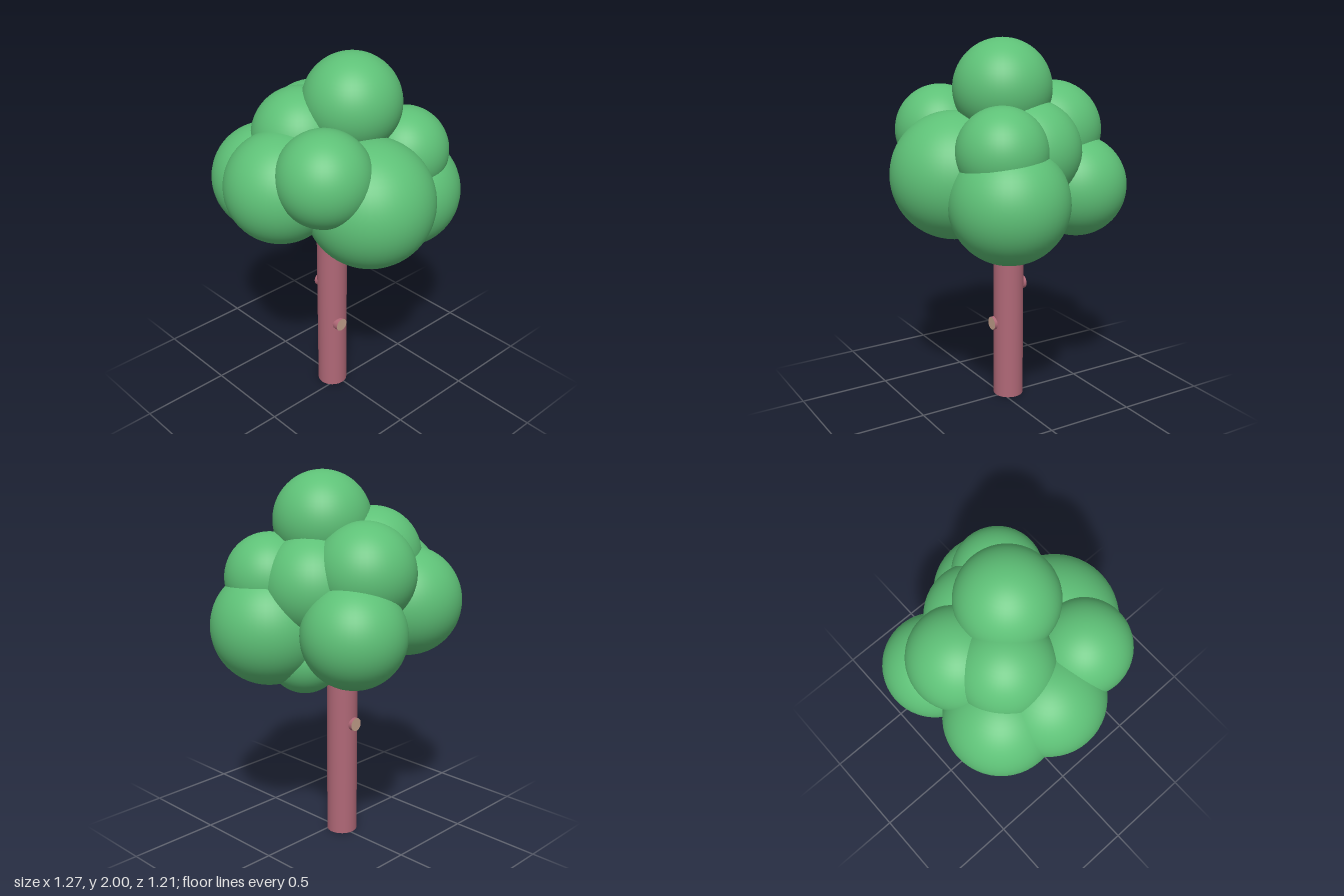
import * as THREE from 'three';

const leafMat = new THREE.MeshStandardMaterial({ color: 0x5ec177 });
const barkMat = new THREE.MeshStandardMaterial({ color: 0xb06877 });
const woodMat = new THREE.MeshStandardMaterial({ color: 0xc4a08c });

// Trunk axis and radius
const TRUNK = { x: -0.013, z: -0.048, r: 0.083, top: 1.2 };

// Foliage balls: x, y, z, radius
const BALLS = [
  [0.055, 1.743, 0.032, 0.257],   // crown
  [-0.04, 1.3, 0.267, 0.335],     // front
  [0.323, 1.208, 0.155, 0.308],   // left, low
  [0.293, 1.457, 0.178, 0.235],   // left, high
  [-0.297, 1.497, 0.21, 0.244],   // front right, high
  [-0.348, 1.375, -0.06, 0.289],  // right
  [-0.255, 1.32, -0.286, 0.29],   // back right
  [0.203, 1.222, -0.335, 0.27],   // back left
  [0.06, 1.505, -0.273, 0.263],   // back, high
  [-0.132, 1.56, -0.15, 0.256],   // right of crown
  [0.193, 1.43, -0.045, 0.27],    // left of crown
  [0.205, 1.048, 0.013, 0.195],   // underside
  [0, 1.3, -0.03, 0.29],          // core
];

function createKnot(name, x, y, dir, reach) {
  // Sawn-off branch stub: bark sleeve with a pale cut face
  const knot = new THREE.Group();
  knot.name = name;
  const r = 0.037;
  const length = 0.09;
  const stub = new THREE.Mesh(new THREE.CylinderGeometry(r, r, length, 24, 1, true), barkMat);
  stub.name = 'branchStub';
  stub.rotation.x = Math.PI / 2;
  stub.position.z = -length / 2;
  const face = new THREE.Mesh(new THREE.CircleGeometry(r, 24), woodMat);
  face.name = 'cutFace';
  knot.add(stub, face);
  knot.position.set(x, y, reach);
  if (dir < 0) knot.rotation.y = Math.PI;
  return knot;
}

export function createModel() {
  const tree = new THREE.Group();
  tree.name = 'tree';

  const trunk = new THREE.Mesh(
    new THREE.CylinderGeometry(TRUNK.r, TRUNK.r, TRUNK.top, 40), barkMat);
  trunk.name = 'trunk';
  trunk.position.set(TRUNK.x, TRUNK.top / 2, TRUNK.z);
  tree.add(trunk);

  tree.add(createKnot('frontKnot', -0.03, 0.43, 1, 0.05));
  tree.add(createKnot('backKnot', -0.018, 0.645, -1, -0.148));

  // Overlapping round clumps of leaves
  const foliage = new THREE.Group();
  foliage.name = 'foliage';
  for (const [x, y, z, r] of BALLS) {
    const ball = new THREE.Mesh(new THREE.SphereGeometry(r, 48, 32), leafMat);
    ball.name = 'leafBall';
    ball.position.set(x, y, z);
    foliage.add(ball);
  }
  tree.add(foliage);
  return tree;
}
